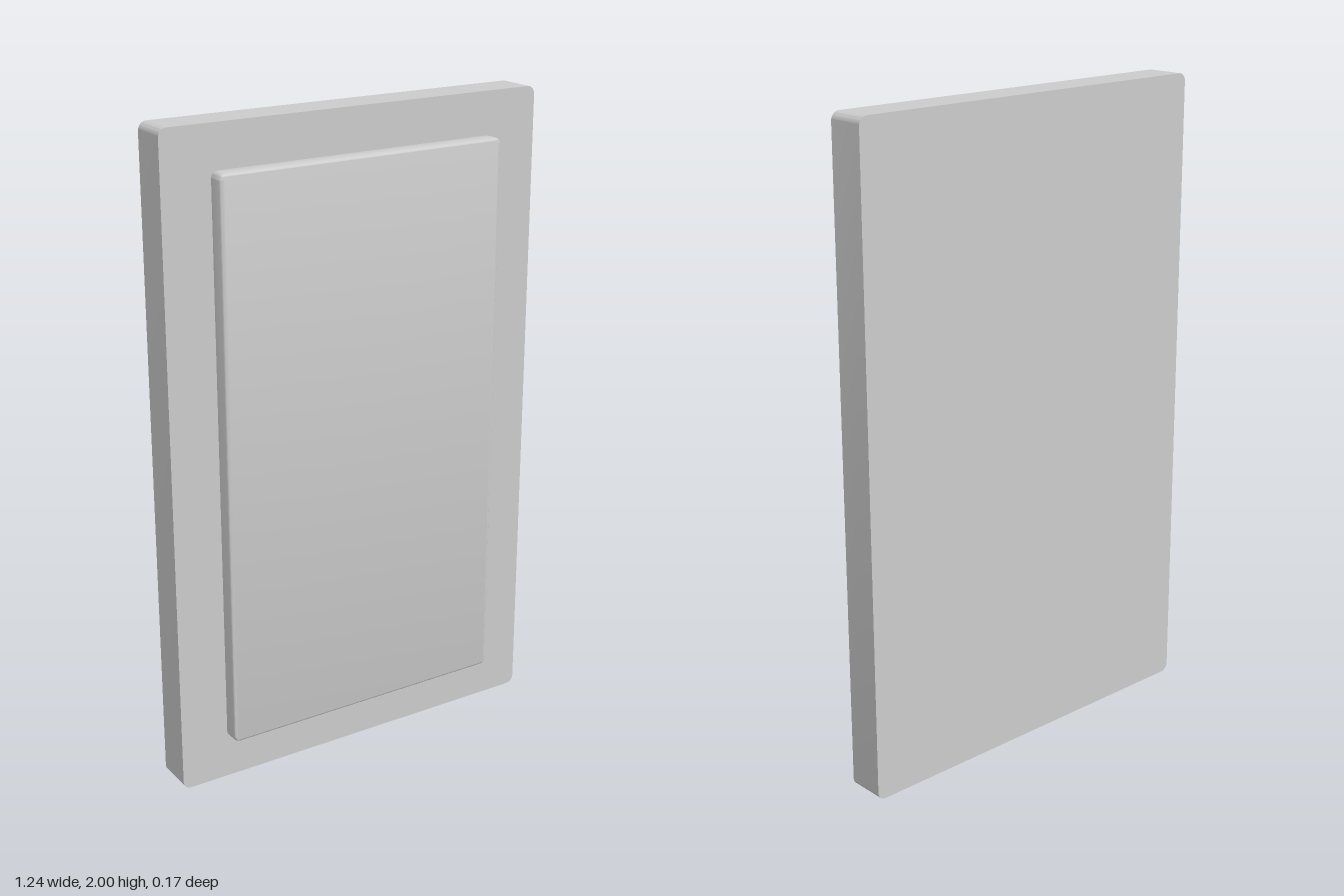
import * as THREE from 'three';
import { toCreasedNormals } from 'three/addons/utils/BufferGeometryUtils.js';

// Rounded rectangle centred on the origin
function roundedRect(w, h, r) {
  const x = w / 2, y = h / 2, s = new THREE.Shape();
  s.absarc(x - r, y - r, r, 0, Math.PI / 2);
  s.absarc(-x + r, y - r, r, Math.PI / 2, Math.PI);
  s.absarc(-x + r, -y + r, r, Math.PI, Math.PI * 1.5);
  s.absarc(x - r, -y + r, r, Math.PI * 1.5, Math.PI * 2);
  s.closePath();
  return s;
}

// Plate spanning z0..z1 with rounded corners and an optional edge rounding
function plate(name, w, h, r, z0, z1, bevel, material) {
  const shape = roundedRect(w - 2 * bevel, h - 2 * bevel, r - bevel);
  const geometry = new THREE.ExtrudeGeometry(shape, {
    depth: z1 - z0 - 2 * bevel,
    curveSegments: 8,
    bevelEnabled: bevel > 0,
    bevelSize: bevel,
    bevelThickness: bevel,
    bevelSegments: 5,
  });
  geometry.translate(0, 1, z0 + bevel);
  const mesh = new THREE.Mesh(toCreasedNormals(geometry, 0.6), material);
  mesh.name = name;
  return mesh;
}

export function createModel() {
  const group = new THREE.Group();
  group.name = 'panelledDoor';
  const material = new THREE.MeshStandardMaterial({ color: 0xcccccc });

  // Square-edged backing slab with rounded corners
  group.add(plate('slab', 1.244, 2, 0.026, -0.083, 0.035, 0, material));

  // Raised front panel, its rear edge sunk into the slab
  const panel = plate('raisedPanel', 0.938, 1.734, 0.02, 0.015, 0.083, 0.01, material);
  panel.position.y = 0.002;
  group.add(panel);

  return group;
}
